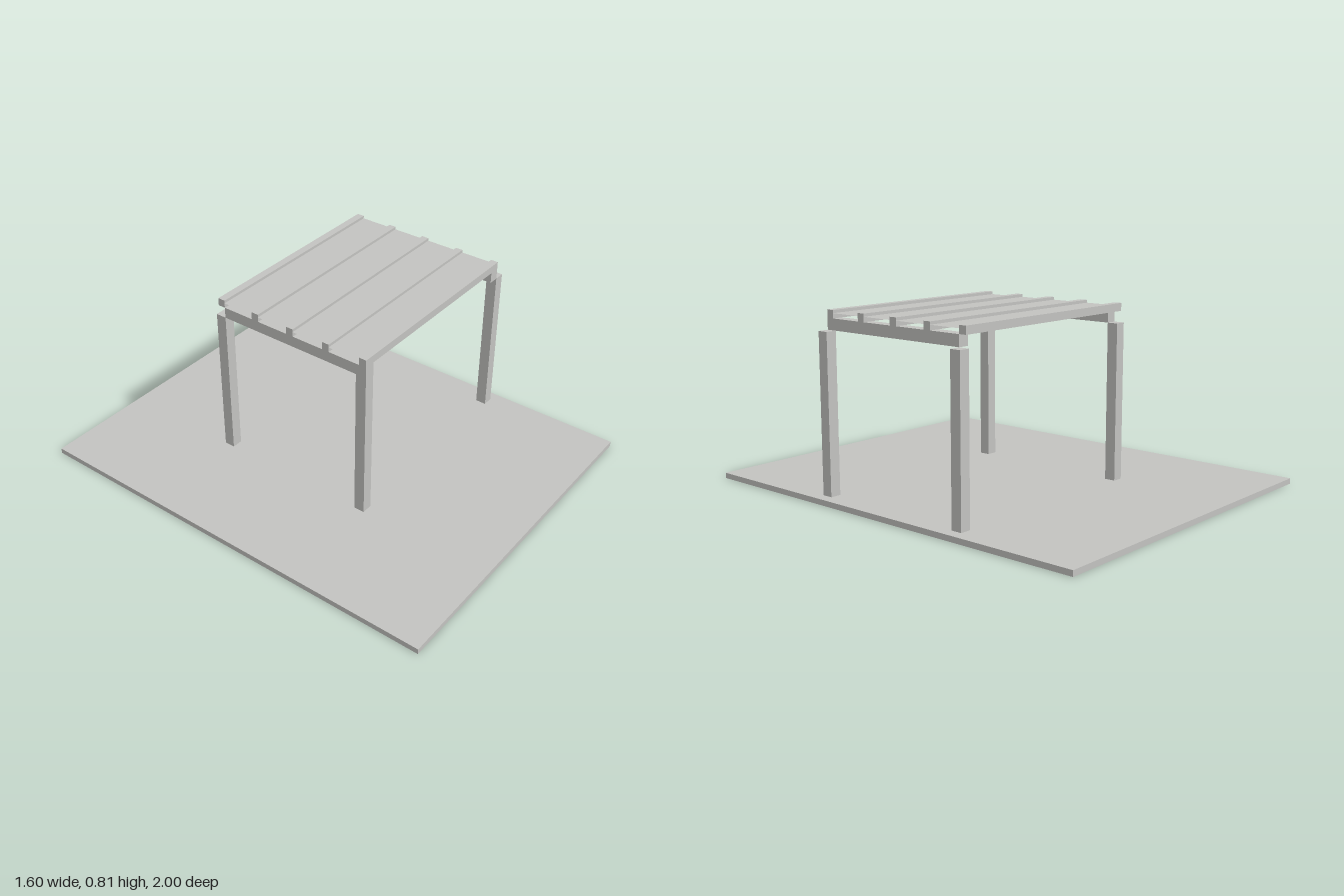
import * as THREE from 'three';

export function createModel() {
  const model = new THREE.Group();
  const paleGrey = new THREE.MeshStandardMaterial({ color: 0xc3c3c0 });
  const sheetGrey = new THREE.MeshStandardMaterial({ color: 0xc3c3c0, side: THREE.DoubleSide });
  sheetGrey.name = paleGrey.name = 'paleGrey';

  // Box given by its limits on each axis
  function block(name, [x0, x1], [y0, y1], [z0, z1]) {
    const mesh = new THREE.Mesh(new THREE.BoxGeometry(x1 - x0, y1 - y0, z1 - z0), paleGrey);
    mesh.position.set((x0 + x1) / 2, (y0 + y1) / 2, (z0 + z1) / 2);
    mesh.name = name;
    model.add(mesh);
  }

  const groundTop = 0.025, postTop = 0.73, beamTop = 0.78, roofTop = 0.815;
  const thick = 0.05, front = 0.375, back = -0.375;

  // Ground slab
  block('groundSlab', [-0.8, 0.8], [0, groundTop], [-1, 1]);

  // Four posts; the left pair stands just outside the roof
  for (const [side, x] of [['right', -0.3], ['left', 0.7]]) {
    for (const [end, z] of [['Front', front - thick], ['Back', back - thick]]) {
      block(side + end + 'Post', [x, x + thick], [groundTop, postTop], [z, z + thick]);
    }
  }

  // Two beams running front to back
  block('rightBeam', [-0.3, -0.25], [postTop, beamTop], [back, front]);
  block('leftBeam', [0.65, 0.7], [postTop, beamTop], [back, front]);

  // Five rafters across the beams
  for (let i = 0; i < 5; i++) {
    const z = front - i * 0.1875;
    block('rafter' + (i + 1), [-0.3, 0.7], [beamTop, roofTop], [z - 0.035, z]);
  }

  // Thin roof sheet between the rafters
  const sheet = new THREE.Mesh(new THREE.PlaneGeometry(1, front - back), sheetGrey);
  sheet.rotation.x = -Math.PI / 2;
  sheet.position.set(0.2, 0.802, 0);
  sheet.name = 'roofSheet';
  model.add(sheet);

  return model;
}
